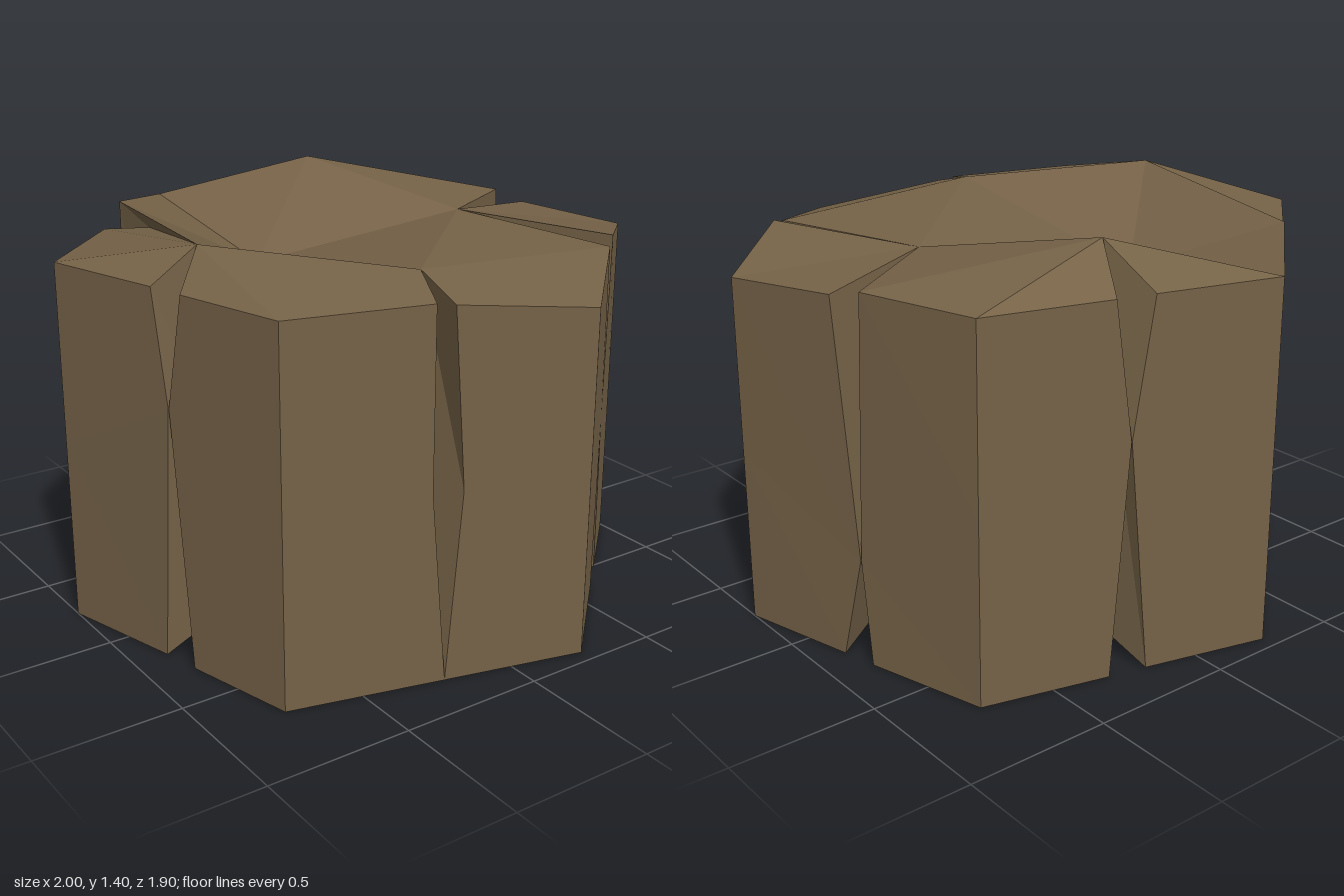
import * as THREE from 'three';

// Flat-shaded mesh from a list of triangles (each three [x, y, z] points)
function facetMesh(name, tris, material) {
  const geometry = new THREE.BufferGeometry();
  geometry.setAttribute('position', new THREE.Float32BufferAttribute(tris.flat(2), 3));
  geometry.computeVertexNormals();
  const mesh = new THREE.Mesh(geometry, material);
  mesh.name = name;
  return mesh;
}

const mix = (a, b, t) => a.map((v, i) => v + (b[i] - v) * t);

export function createModel() {
  const brown = new THREE.MeshStandardMaterial({ color: 0x756247, flatShading: true, side: THREE.DoubleSide });
  brown.name = 'earthBrown';

  // Six corners of the block, clockwise from above: x, top height, z
  const corners = [
    [-0.25, 1.26, -0.95], [0.74, 1.26, -0.70], [1, 1.21, 0.25],
    [0.25, 1.19, 0.95], [-0.75, 1.26, 0.70], [-1, 1.26, -0.25],
  ];

  // One crack per side, each level listed as rim, inner, rim point:
  // top [x, y, z], middle [x, z] at height y, and foot [x, y, z]
  const cracks = [
    { top: [[0.18, 1.26, -0.84], [0.23, 1.40, -0.65], [0.31, 1.26, -0.81]],
      y: 0.80, mid: [[0.249, -0.824], [0.24, -0.74], [0.251, -0.824]],
      foot: [[0.18, 0, -0.84], [0.23, 0.1, -0.65], [0.31, 0, -0.81]] },
    { top: [[0.86, 1.26, -0.28], [0.47, 1.28, -0.03], [0.89, 1.23, -0.16]],
      y: 0.36, mid: [[0.865, -0.241], [0.78, -0.21], [0.866, -0.239]],
      foot: [[0.86, 0, -0.28], [0.69, 0.1, -0.10], [0.89, 0, -0.16]] },
    { top: [[0.66, 1.28, 0.57], [0.47, 1.28, -0.03], [0.60, 1.26, 0.62]],
      y: 0.64, mid: [[0.631, 0.594], [0.58, 0.45], [0.629, 0.596]],
      foot: [[0.72, 0, 0.51], [0.44, 0.1, 0.27], [0.60, 0, 0.62]] },
    { top: [[-0.22, 1.25, 0.835], [-0.19, 1.305, 0.62], [-0.28, 1.26, 0.82]],
      y: 0.65, mid: [[-0.18, 0.843], [-0.21, 0.72], [-0.28, 0.818]],
      foot: [[-0.23, 0, 0.83], [-0.23, 0, 0.83], [-0.23, 0, 0.83]] },
    { top: [[-0.85, 1.26, 0.31], [-0.72, 1.37, 0.19], [-0.88, 1.26, 0.18]],
      y: 0.88, mid: [[-0.867, 0.241], [-0.74, 0.21], [-0.868, 0.239]],
      foot: [[-0.85, 0, 0.31], [-0.73, 0.1, 0.22], [-0.88, 0, 0.18]] },
    { top: [[-0.67, 1.26, -0.56], [-0.57, 1.28, -0.42], [-0.56, 1.325, -0.66]],
      y: 0.65, mid: [[-0.67, -0.56], [-0.56, -0.42], [-0.56, -0.66]],
      foot: [[-0.67, 0, -0.56], [-0.55, 0.06, -0.42], [-0.56, 0, -0.66]] },
  ];

  // Columns of top, middle and bottom points around the outline
  const columns = [];
  corners.forEach((c, i) => {
    const base = [c[0], 0, c[2]];
    columns.push([c, mix(base, c, 0.5), base]);
    const { top, y, mid, foot } = cracks[i];
    for (let k = 0; k < 3; k++) columns.push([top[k], [mid[k][0], y, mid[k][1]], foot[k]]);
  });

  // Side walls and crack walls
  const sides = [];
  columns.forEach((a, i) => {
    const b = columns[(i + 1) % columns.length];
    for (let k = 0; k < 2; k++) {
      sides.push([a[k], b[k], a[k + 1]], [b[k], b[k + 1], a[k + 1]]);
    }
  });

  // Faceted top, listed clockwise from above, then flipped to face up
  const [A, B, C, D, E, F] = corners;
  const [ab, bc, cd, de, ef, fa] = cracks.map((c) => c.top);
  const hollow = [-0.23, 1.14, -0.27];
  const top = [
    [A, ab[0], ab[1]], [A, ab[1], hollow], [A, hollow, fa[2]], [fa[2], hollow, ef[1]],
    [ab[1], ab[2], B], [ab[1], B, bc[0]], [ab[1], bc[0], bc[1]], [hollow, ab[1], bc[1]],
    [bc[1], bc[2], C], [bc[1], C, cd[0]],
    [bc[1], cd[2], de[1]], [de[1], cd[2], D], [de[1], D, de[0]],
    [hollow, bc[1], de[1]], [hollow, de[1], ef[1]],
    [de[1], de[2], E], [de[1], E, ef[1]], [ef[1], E, ef[0]],
    [ef[1], ef[2], F], [ef[1], F, fa[0]], [ef[1], fa[0], fa[1]],
    [ef[1], fa[1], fa[2]], // underside of the overhanging lip
  ].map(([p, q, r]) => [p, r, q]);

  // Slightly hollow base, listed clockwise from above so it faces down
  const [a0, b0, c0, d0, e0, f0] = corners.map(([x, , z]) => [x, 0, z]);
  const [abF, bcF, cdF, deF, efF, faF] = cracks.map((c) => c.foot);
  const base = [
    [cdF[1], cdF[2], d0], [cdF[1], d0, deF[1]], [cdF[1], deF[1], efF[1]],
    [efF[1], deF[1], e0], [efF[1], e0, efF[0]],
    [efF[1], efF[2], f0], [efF[1], f0, faF[0]], [efF[1], faF[0], faF[1]],
    [faF[1], faF[2], a0], [faF[1], a0, abF[1]], [a0, abF[0], abF[1]],
    [abF[1], abF[2], b0], [abF[1], b0, bcF[0]], [abF[1], bcF[0], bcF[1]],
    [bcF[1], bcF[2], c0], [bcF[1], c0, cdF[0]], [bcF[1], cdF[0], cdF[1]],
    [efF[1], faF[1], abF[1]], [efF[1], abF[1], bcF[1]], [efF[1], bcF[1], cdF[1]],
  ];

  const group = new THREE.Group();
  group.name = 'crackedBlock';
  group.add(
    facetMesh('crackedSides', sides, brown),
    facetMesh('unevenTop', top, brown),
    facetMesh('hollowBase', base, brown),
  );
  return group;
}
